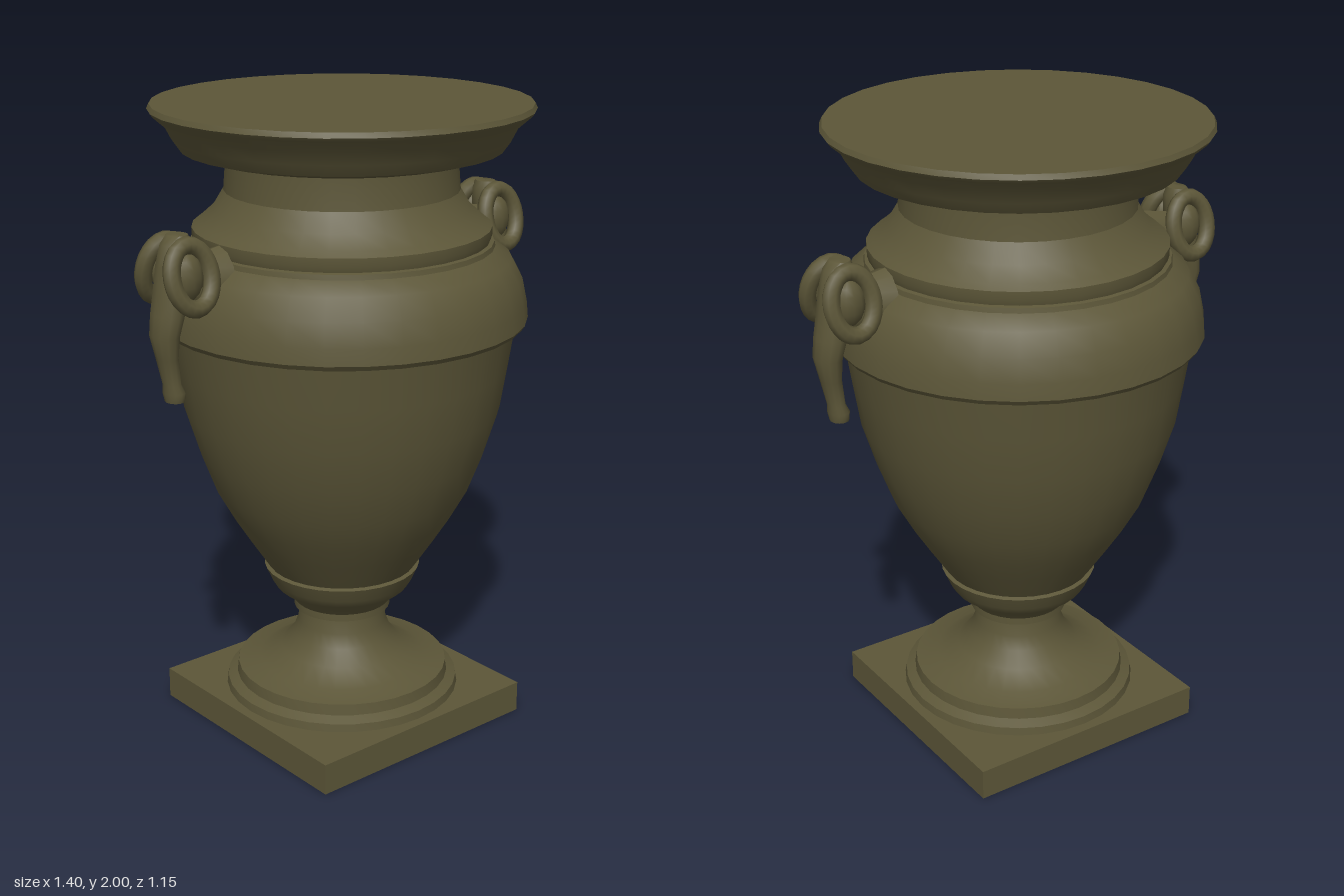
import * as THREE from 'three';
import { toCreasedNormals } from 'three/addons/utils/BufferGeometryUtils.js';

const bronze = new THREE.MeshStandardMaterial({ color: 0x5c5638 });
bronze.name = 'dark olive bronze';

function part(name, geometry, crease = 0.6) {
  const mesh = new THREE.Mesh(toCreasedNormals(geometry, crease), bronze);
  mesh.name = name;
  return mesh;
}

function lathe(name, points) {
  return part(name, new THREE.LatheGeometry(points.map(([r, y]) => new THREE.Vector2(r, y)), 32));
}

// Stack of elliptical rings, each [y, centre x, radius x, radius z], from bottom to top
function loft(rings, sides = 12) {
  const position = [], index = [];
  for (const [y, cx, rx, rz] of rings) {
    for (let i = 0; i < sides; i++) {
      const a = (i / sides) * Math.PI * 2;
      position.push(cx + rx * Math.cos(a), y, rz * Math.sin(a));
    }
  }
  for (let k = 0; k < rings.length - 1; k++) {
    for (let i = 0; i < sides; i++) {
      const a = k * sides + i, b = k * sides + (i + 1) % sides;
      index.push(a, a + sides, b, b, a + sides, b + sides);
    }
  }
  const g = new THREE.BufferGeometry();
  g.setAttribute('position', new THREE.Float32BufferAttribute(position, 3));
  g.setIndex(index);
  return g;
}

// Horned animal head hanging on the +x side
function createHead() {
  const head = new THREE.Group();

  // Skull and long drooping snout
  head.add(part('snout', loft([
    [1.195, 0.63, 0.001, 0.001], [1.197, 0.63, 0.028, 0.032], [1.225, 0.632, 0.032, 0.038],
    [1.25, 0.638, 0.026, 0.03], [1.33, 0.652, 0.03, 0.04], [1.4, 0.658, 0.04, 0.054],
    [1.46, 0.645, 0.046, 0.06], [1.52, 0.635, 0.045, 0.06], [1.6, 0.62, 0.05, 0.055],
    [1.66, 0.61, 0.045, 0.045], [1.685, 0.605, 0.03, 0.035], [1.686, 0.605, 0.001, 0.001],
  ]), 1));

  // Neck joining the head to the shoulder
  const neck = new THREE.CylinderGeometry(0.07, 0.1, 0.16, 12);
  neck.rotateZ(-Math.PI / 2);
  neck.scale(1, 1, 0.8);
  neck.translate(0.54, 1.53, 0);
  head.add(part('neck', neck));

  // Curled horns, leaning outwards towards the bottom
  for (const side of [-1, 1]) {
    const points = [];
    for (let i = 0; i < 12; i++) {
      const a = (i / 12) * Math.PI * 2;
      const y = 0.088 * Math.sin(a);
      points.push(new THREE.Vector3(0.608 + 0.066 * Math.cos(a), 1.575 + y, side * (0.072 - y * 0.26)));
    }
    const curve = new THREE.CatmullRomCurve3(points, true);
    head.add(part('horn', new THREE.TubeGeometry(curve, 24, 0.026, 8, true), 1));

    // Ear tucked in the curl of the horn
    const ear = new THREE.SphereGeometry(1, 12, 8);
    ear.scale(0.05, 0.07, 0.035);
    ear.translate(0.608, 1.57, side * 0.05);
    head.add(part('ear', ear, 1));
  }
  return head;
}

export function createModel() {
  const urn = new THREE.Group();
  urn.name = 'urn';

  // Square plinth
  const plinth = new THREE.BoxGeometry(0.82, 0.1, 0.82);
  plinth.translate(0, 0.05, 0);
  urn.add(part('plinth', plinth));

  // Round foot and stem
  urn.add(lathe('foot', [
    [0.38, 0.095], [0.375, 0.125], [0.345, 0.14], [0.34, 0.175], [0.27, 0.19], [0.2, 0.23],
    [0.16, 0.275], [0.143, 0.32], [0.137, 0.37], [0.155, 0.372], [0.155, 0.395],
  ]));

  // Cup and tapering belly
  urn.add(lathe('belly', [
    [0.13, 0.39], [0.155, 0.395], [0.175, 0.42], [0.215, 0.45], [0.23, 0.475], [0.25, 0.52],
    [0.238, 0.525], [0.3, 0.62], [0.35, 0.7], [0.405, 0.8], [0.45, 0.92], [0.493, 1.06],
    [0.515, 1.2], [0.535, 1.335],
  ]));

  // Swelling shoulder band
  urn.add(lathe('shoulder', [
    [0.525, 1.33], [0.56, 1.335], [0.57, 1.35], [0.565, 1.4], [0.55, 1.47], [0.515, 1.535],
    [0.465, 1.57], [0.462, 1.585], [0.45, 1.588], [0.455, 1.605], [0.455, 1.63], [0.435, 1.645],
    [0.39, 1.685], [0.357, 1.74],
  ]));

  // Neck, flared rim and closed top
  urn.add(lathe('neckAndRim', [
    [0.357, 1.74], [0.352, 1.8], [0.352, 1.845], [0.43, 1.85], [0.485, 1.865], [0.51, 1.9],
    [0.53, 1.94], [0.57, 1.975], [0.577, 1.985], [0.57, 2], [0, 2],
  ]));

  // One head on each side
  const left = createHead();
  left.name = 'leftHandle';
  const right = createHead();
  right.name = 'rightHandle';
  right.rotation.y = Math.PI;
  urn.add(left, right);
  return urn;
}
